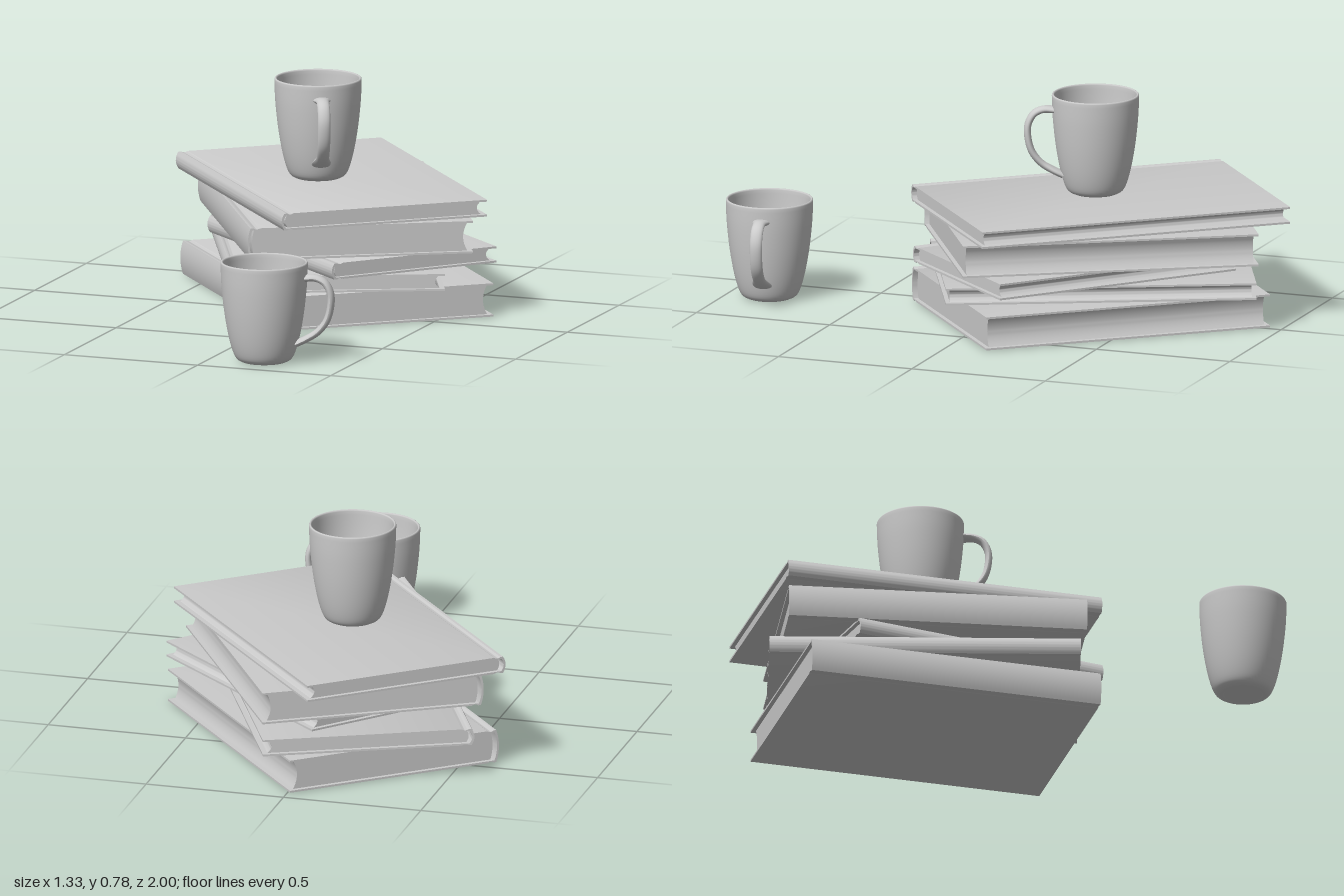
import * as THREE from 'three';
import { toCreasedNormals } from 'three/addons/utils/BufferGeometryUtils.js';

const material = new THREE.MeshStandardMaterial({ color: 0xcccccc, side: THREE.DoubleSide });

function mesh(geometry, name) {
  const m = new THREE.Mesh(geometry, material);
  m.name = name;
  return m;
}

// Extrude a cross-section along z, centred, with crisp edges
function slab(shape, length) {
  const g = new THREE.ExtrudeGeometry(shape, { depth: length, bevelEnabled: false, curveSegments: 12 });
  g.translate(0, 0, -length / 2);
  return toCreasedNormals(g, 0.5);
}

// Hardback book: spine on -x, fore edge on +x, lying flat on y = 0
function createBook(width, length, thick) {
  const book = new THREE.Group();
  const t = 0.007, bulge = 0.01, dip = 0.004;
  const left = -width / 2, right = width / 2, hinge = left + 0.032;

  // Case: two boards joined by a rounded spine, with a hinge groove on each side
  const cover = new THREE.Shape();
  cover.moveTo(right, 0);
  cover.lineTo(hinge + 0.012, 0);
  cover.quadraticCurveTo(hinge, dip * 2, hinge - 0.012, 0);
  cover.lineTo(left + bulge, 0);
  cover.quadraticCurveTo(left - bulge, thick / 2, left + bulge, thick);
  cover.lineTo(hinge - 0.012, thick);
  cover.quadraticCurveTo(hinge, thick - dip * 2, hinge + 0.012, thick);
  cover.lineTo(right, thick);
  cover.lineTo(right, thick - t);
  cover.lineTo(left + bulge + t, thick - t);
  cover.quadraticCurveTo(left - bulge + t, thick / 2, left + bulge + t, t);
  cover.lineTo(right, t);
  cover.closePath();
  book.add(mesh(slab(cover, length), 'cover'));

  // Page block with a hollow fore edge and a rounded back
  const back = left + 0.026, fore = right - 0.018;
  const pages = new THREE.Shape();
  pages.moveTo(back, t);
  pages.lineTo(fore, t);
  pages.quadraticCurveTo(fore - 0.03, thick / 2, fore, thick - t);
  pages.lineTo(back, thick - t);
  pages.quadraticCurveTo(back - 0.016, thick / 2, back, t);
  book.add(mesh(slab(pages, length - 0.03), 'pages'));
  return book;
}

// Tapered mug with its handle towards +x
function createMug() {
  const mug = new THREE.Group();
  const v = (x, y) => new THREE.Vector2(x, y);

  // Outer wall and inner wall as smooth curves, joined by a rounded rim
  const outer = new THREE.SplineCurve([
    v(0.078, 0), v(0.098, 0.012), v(0.113, 0.045), v(0.128, 0.105),
    v(0.141, 0.185), v(0.15, 0.275), v(0.153, 0.35),
  ]).getPoints(24);
  const inner = new THREE.SplineCurve([
    v(0.144, 0.35), v(0.141, 0.275), v(0.132, 0.185), v(0.119, 0.105),
    v(0.104, 0.05), v(0.08, 0.022), v(0.04, 0.016), v(0, 0.015),
  ]).getPoints(28);
  const base = [v(0, 0.006), v(0.06, 0.006), v(0.068, 0.001)];
  const rim = [v(0.1515, 0.354), v(0.1485, 0.3555), v(0.1455, 0.354)];
  const body = new THREE.LatheGeometry([...base, ...outer, ...rim, ...inner], 64);
  mug.add(mesh(body, 'mugBody'));

  // Handle: flattened tube that widens where it meets the wall
  const path = new THREE.CatmullRomCurve3([
    [0.145, 0.302], [0.185, 0.303], [0.217, 0.288], [0.237, 0.25], [0.237, 0.2],
    [0.222, 0.15], [0.19, 0.11], [0.155, 0.087], [0.117, 0.068],
  ].map(([x, y]) => new THREE.Vector3(x, y, 0)));
  const handle = new THREE.TubeGeometry(path, 48, 0.0125, 16);
  const p = handle.attributes.position;
  const flare = (x) => 1.75 + 0.9 * (1 - THREE.MathUtils.smoothstep(x, 0.13, 0.19));
  for (let i = 0; i < p.count; i++) p.setZ(i, p.getZ(i) * flare(p.getX(i)));
  handle.computeVertexNormals();
  mug.add(mesh(handle, 'mugHandle'));
  return mug;
}

export function createModel() {
  const model = new THREE.Group();
  const place = (part, name, x, y, z, degrees) => {
    part.name = name;
    part.position.set(x, y, z);
    part.rotation.y = THREE.MathUtils.degToRad(degrees);
    model.add(part);
  };

  // Stack from the bottom up: width, length, base y, thickness, centre x and z, turn
  const books = [
    [0.80, 1.05, 0.002, 0.119, 0.02, -0.295, 40],
    [0.75, 1.09, 0.123, 0.060, -0.015, -0.29, 25.3],
    [0.65, 0.935, 0.185, 0.058, 0.09, -0.26, 49],
    [0.80, 1.05, 0.245, 0.115, 0.015, -0.295, 30.8],
    [0.76, 1.14, 0.362, 0.060, -0.01, -0.32, 40.2],
  ];
  books.forEach(([w, l, y, t, x, z, turn], i) => {
    place(createBook(w, l, t), 'book' + (i + 1), x, y, z, turn);
  });

  place(createMug(), 'mugOnBooks', -0.047, 0.422, -0.286, -63.5);
  place(createMug(), 'mugOnTable', 0.19, 0, 0.845, 9.5);
  return model;
}
